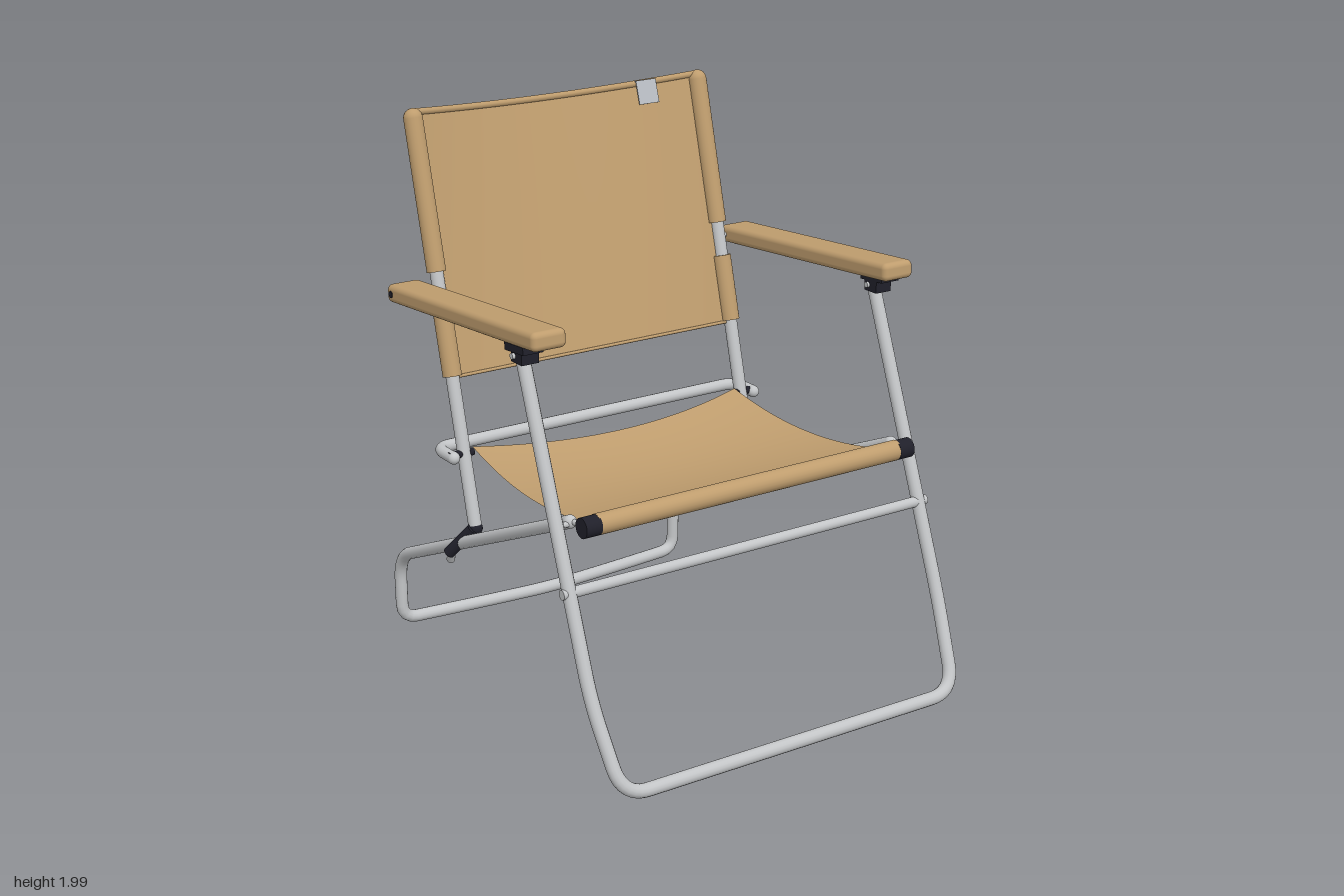
import * as THREE from 'three';
import { RoundedBoxGeometry } from 'three/addons/geometries/RoundedBoxGeometry.js';

const V = (x, y, z) => new THREE.Vector3(x, y, z);

export function createModel() {
  const model = new THREE.Group();
  model.name = 'foldingChair';

  const material = (name, color, side = THREE.FrontSide) => {
    const m = new THREE.MeshStandardMaterial({ color, side });
    m.name = name;
    return m;
  };
  const canvas = material('tanCanvas', 0xbf9d6e, THREE.DoubleSide);
  const metal = material('silverMetal', 0xc3c5c7);
  const black = material('blackPlastic', 0x20202a);
  const tagGrey = material('tagGrey', 0xb9bec4);

  const add = (name, geometry, mat, parent = model) => {
    const mesh = new THREE.Mesh(geometry, mat);
    mesh.name = name;
    parent.add(mesh);
    return mesh;
  };

  // Straight round bar between two points
  const rod = (name, a, b, r, mat, parent = model) => {
    const mesh = add(name, new THREE.CylinderGeometry(r, r, a.distanceTo(b), 20), mat, parent);
    mesh.position.copy(a).add(b).multiplyScalar(0.5);
    mesh.quaternion.setFromUnitVectors(V(0, 1, 0), b.clone().sub(a).normalize());
    return mesh;
  };
  const ball = (name, p, r, mat) =>
    add(name, new THREE.SphereGeometry(r, 20, 12), mat).position.copy(p);

  // Bent tube: corners given as [point, bend radius]
  const bentTube = (name, corners, r) => {
    const path = new THREE.CurvePath();
    let last = corners[0][0];
    for (let i = 1; i < corners.length - 1; i++) {
      const [p, bend] = corners[i];
      const start = p.clone().add(corners[i - 1][0].clone().sub(p).setLength(bend));
      const end = p.clone().add(corners[i + 1][0].clone().sub(p).setLength(bend));
      path.add(new THREE.LineCurve3(last, start));
      path.add(new THREE.QuadraticBezierCurve3(start, p, end));
      last = end;
    }
    const tip = corners[corners.length - 1][0];
    path.add(new THREE.LineCurve3(last, tip));
    add(name, new THREE.TubeGeometry(path, 200, r, 14, false), metal);
    ball(name + 'End', corners[0][0], r, metal);
    ball(name + 'End', tip, r, metal);
  };
  // Right half of a symmetrical tube, mirrored to the left
  const mirrored = (half) => [
    ...half.map(([p, b]) => [V(-p.x, p.y, p.z), b]),
    ...half.filter(([p]) => p.x !== 0).reverse(),
  ];

  // Front leg loop
  bentTube('frontLegFrame', mirrored([
    [V(0.715, 1.36, 0.285), 0],
    [V(0.722, 0.32, 0.68), 0.1],
    [V(0.69, 0.03, 0.815), 0.1],
  ]), 0.024);

  // Rear leg loop with bowed floor bar
  bentTube('rearLegFrame', mirrored([
    [V(0.66, 0.858, 0.465), 0],
    [V(0.613, 0.285, -0.815), 0.1],
    [V(0.61, 0.028, -0.815), 0.06],
    [V(0.3, 0.028, -0.785), 0.1],
    [V(0, 0.028, -0.762), 0.1],
  ]), 0.023);

  // Bar behind the seat
  bentTube('rearSeatBar', mirrored([
    [V(0.642, 0.826, -0.325), 0],
    [V(0.642, 0.826, -0.45), 0.06],
  ]), 0.022);

  // Front cross bar
  rod('frontCrossBar', V(-0.725, 0.655, 0.555), V(0.725, 0.655, 0.555), 0.019, metal);

  // Line of the back uprights
  const backZ = (y) => -0.276 - (y - 0.583) * 0.258;
  const onBack = (x, y) => V(x, y, backZ(y));

  for (const s of [-1, 1]) {
    // Back uprights and canvas sleeves
    rod('backUpright', onBack(s * 0.593, 0.575), onBack(s * 0.593, 1.95), 0.024, metal);
    rod('upperSleeve', onBack(s * 0.593, 1.45), onBack(s * 0.593, 1.965), 0.034, canvas);
    ball('sleeveTop', onBack(s * 0.593, 1.965), 0.034, canvas);
    rod('lowerSleeve', onBack(s * 0.593, 1.095), onBack(s * 0.593, 1.33), 0.034, canvas);
    ball('uprightCap', onBack(s * 0.593, 0.572), 0.026, black);

    // Hook linking the upright to the rear leg
    rod('lowerHook', V(s * 0.608, 0.575, -0.265), V(s * 0.665, 0.47, -0.34), 0.021, black);
    rod('hookTip', V(s * 0.66, 0.485, -0.33), V(s * 0.648, 0.435, -0.358), 0.015, metal);

    // Seat pivots
    rod('rearSeatPivot', V(s * 0.56, 0.832, -0.335), V(s * 0.655, 0.832, -0.335), 0.014, black);
    rod('seatRollCap', V(s * 0.61, 0.865, 0.55), V(s * 0.67, 0.865, 0.55), 0.035, black);
    rod('seatRollLink', V(s * 0.65, 0.865, 0.55), V(s * 0.658, 0.86, 0.46), 0.01, metal);
    rod('legPivot', V(s * 0.64, 0.855, 0.473), V(s * 0.72, 0.855, 0.473), 0.01, metal);
    rod('crossBarKnob', V(s * 0.72, 0.655, 0.555), V(s * 0.75, 0.655, 0.555), 0.017, metal);

    // Armrest, its front bracket and rear bolt
    const arm = new THREE.Group();
    arm.name = 'armrestGroup';
    arm.position.set(s * 0.702, 1.428, -0.057);
    arm.rotation.x = -0.077;
    model.add(arm);
    add('armrest', new RoundedBoxGeometry(0.128, 0.064, 0.98, 4, 0.02), canvas, arm);
    add('bracketPlate', new THREE.BoxGeometry(0.075, 0.026, 0.115), black, arm)
      .position.set(s * 0.02, -0.041, 0.355);
    rod('armBolt', V(s * -0.11, 0, -0.455), V(s * 0.05, 0, -0.455), 0.01, metal, arm);
    rod('armBoltCap', V(s * 0.05, 0, -0.455), V(s * 0.067, 0, -0.455), 0.012, black, arm);
    add('bracketBlock', new THREE.BoxGeometry(0.065, 0.045, 0.065), black)
      .position.set(s * 0.717, 1.385, 0.298);
    rod('bracketBolt', V(s * 0.675, 1.385, 0.285), V(s * 0.76, 1.385, 0.285), 0.01, metal);
  }

  // Cloth panel: u runs -1..1 across, v runs 0..1 along
  const cloth = (name, rule) => {
    const g = new THREE.PlaneGeometry(2, 1, 32, 24);
    const pos = g.attributes.position;
    for (let i = 0; i < pos.count; i++) {
      const p = rule(pos.getX(i), pos.getY(i) + 0.5);
      pos.setXYZ(i, p.x, p.y, p.z);
    }
    g.computeVertexNormals();
    add(name, g, canvas);
  };

  // Backrest, bowing rearward towards the top
  const backPoint = (u, v) => {
    const bow = 1 - u * u;
    const y = 1.09 + v * (0.895 - 0.025 * bow);
    return V(u * 0.585, y, backZ(y) - 0.058 * bow * v);
  };
  cloth('backrestCloth', backPoint);
  const hem = (name, v, r) => {
    const points = [];
    for (let i = -6; i <= 6; i++) points.push(backPoint(i / 6, v));
    add(name, new THREE.TubeGeometry(new THREE.CatmullRomCurve3(points), 40, r, 10), canvas);
  };
  hem('backrestTopHem', 1, 0.012);
  hem('backrestBottomHem', 0, 0.006);

  // Sagging seat with a front roll
  cloth('seatCloth', (u, v) => {
    const bow = 1 - u * u;
    return V(
      u * (0.612 - 0.05 * v),
      0.868 - 0.018 * v - 0.058 * 4 * v * (1 - v) - 0.03 * bow * Math.sin(2 * v),
      0.54 - v * (0.875 - 0.08 * bow),
    );
  });
  rod('seatFrontRoll', V(-0.615, 0.865, 0.548), V(0.615, 0.865, 0.548), 0.036, canvas);

  // Blank tag folded over the top hem
  const tag = new THREE.Group();
  tag.name = 'tag';
  tag.position.copy(backPoint(0.65, 0.965));
  tag.rotation.set(-0.3, -0.12, 0);
  model.add(tag);
  for (const z of [-0.017, 0.017]) {
    add('tagFace', new THREE.BoxGeometry(0.08, 0.085, 0.004), tagGrey, tag).position.set(0, -0.005, z);
  }
  add('tagFold', new THREE.BoxGeometry(0.08, 0.004, 0.038), tagGrey, tag).position.y = 0.038;

  return model;
}
